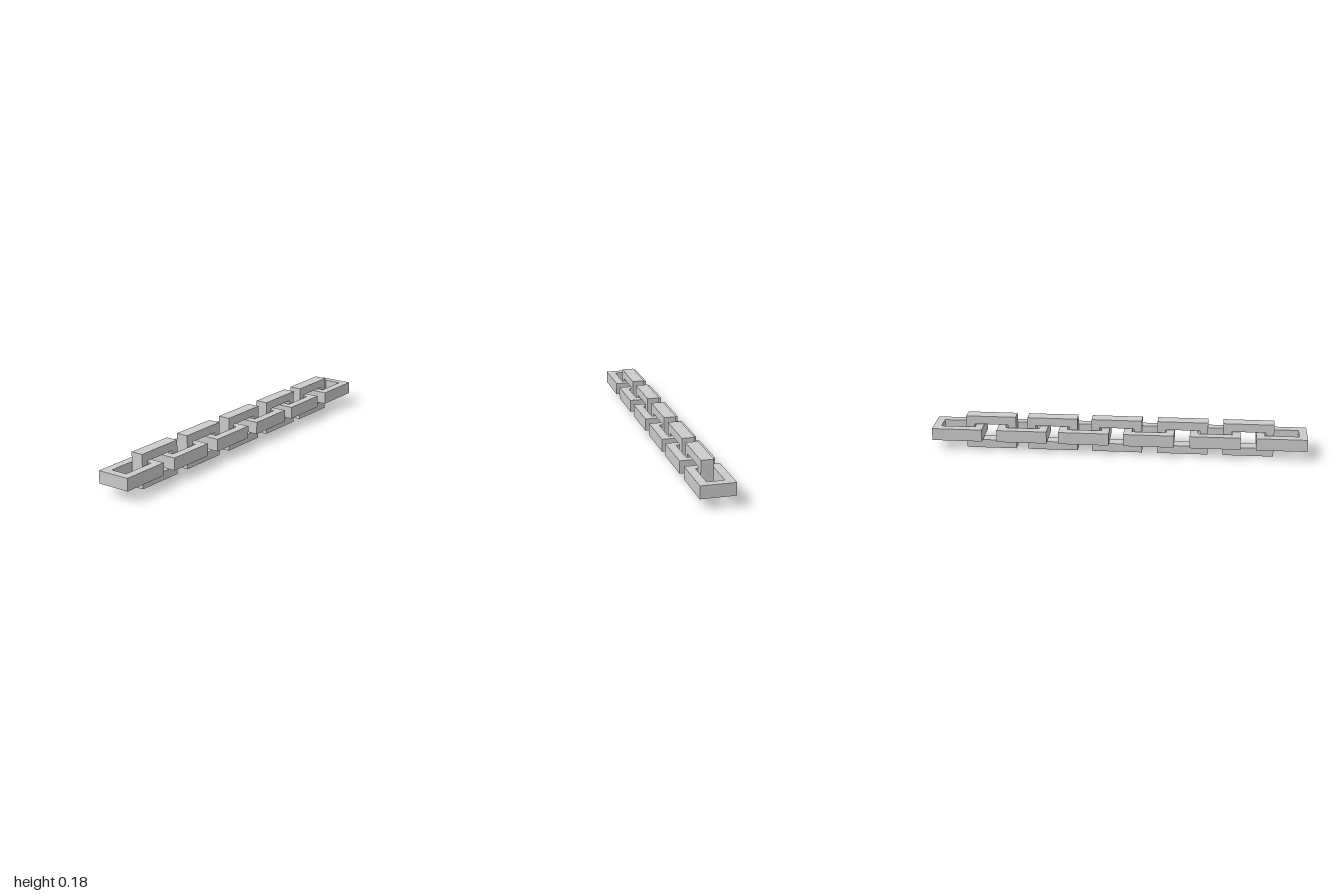
import * as THREE from 'three';

const LENGTH = 0.269, WIDTH = 0.18, DEPTH = 0.066; // outer size of one link
const SIDE = 0.045, END = 0.043;                   // bar widths of the frame

// Rectangular frame lying flat, long axis along z
function linkGeometry() {
  const w = WIDTH / 2, l = LENGTH / 2, iw = w - SIDE, il = l - END;
  const corners = (x, y) => [[-x, -y], [x, -y], [x, y], [-x, y]].map(p => new THREE.Vector2(...p));
  const shape = new THREE.Shape(corners(w, l));
  shape.holes.push(new THREE.Path(corners(iw, il).reverse()));
  const geometry = new THREE.ExtrudeGeometry(shape, { depth: DEPTH, bevelEnabled: false });
  geometry.translate(0, 0, -DEPTH / 2);
  geometry.rotateX(-Math.PI / 2);
  return geometry;
}

export function createModel() {
  const chain = new THREE.Group();
  chain.name = 'chain';
  const material = new THREE.MeshStandardMaterial({ color: 0xcccccc, flatShading: true });
  const geometry = linkGeometry();

  // Link centres along z; every second link stands upright
  const centres = [-0.866, -0.688, -0.517, -0.356, -0.184, -0.01, 0.163, 0.342, 0.515, 0.691, 0.866];
  centres.forEach((z, i) => {
    const upright = i % 2 === 1;
    const link = new THREE.Mesh(geometry, material);
    link.name = (upright ? 'uprightLink' : 'flatLink') + (Math.floor(i / 2) + 1);
    link.position.set(0, WIDTH / 2, z);
    if (upright) link.rotation.z = Math.PI / 2;
    chain.add(link);
  });
  return chain;
}
